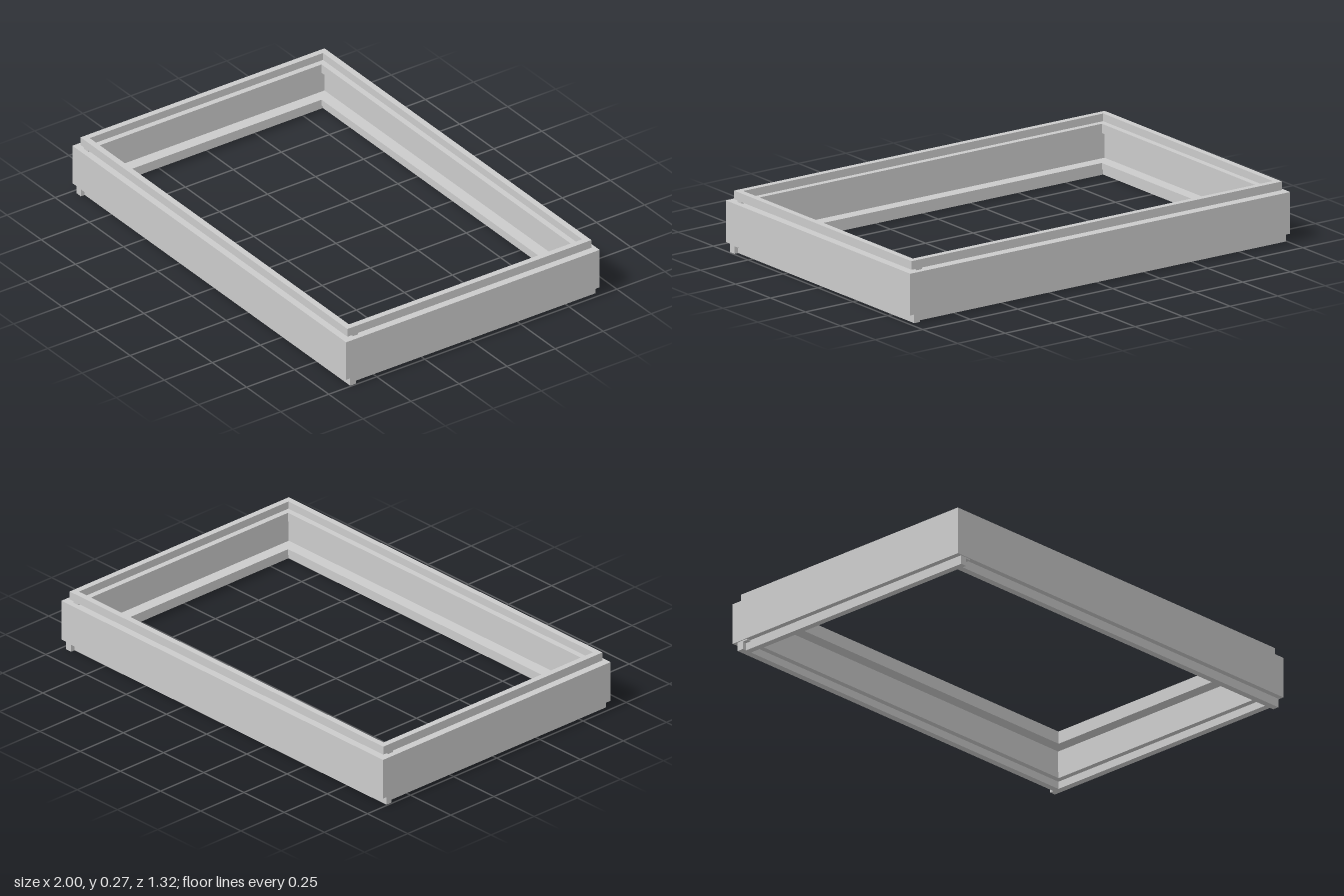
import * as THREE from 'three';

const HALF_X = 1, HALF_Z = 0.66;
const material = new THREE.MeshStandardMaterial({ color: 0xcccccc });

// Cross-sections: [distance inward from the outer face, height]
const wallProfile = [[0, 0.04], [0.025, 0.04], [0.025, 0.225], [0, 0.225]];
const lowerRailProfile = [
  [0.025, 0], [0.055, 0], [0.055, 0.034], [0.08, 0.034],
  [0.08, 0.062], [0.025, 0.062], [0.025, 0.034], [0.025, 0.02],
];
const upperRailProfile = [
  [0.025, 0.195], [0.08, 0.195], [0.08, 0.236], [0.053, 0.236], [0.053, 0.27],
  [0.025, 0.27], [0.025, 0.232], [0.05, 0.232], [0.05, 0.225], [0.025, 0.225],
];

// A straight bar with the given section, running from x = a to x = b
function bar(name, profile, a, b, depth) {
  const shape = new THREE.Shape(profile.map(([d, y]) => new THREE.Vector2(d, y)));
  const geometry = new THREE.ExtrudeGeometry(shape, { depth: b - a, bevelEnabled: false });
  geometry.rotateY(Math.PI / 2).translate(a, 0, depth);
  const mesh = new THREE.Mesh(geometry, material);
  mesh.name = name;
  return mesh;
}

export function createModel() {
  const frame = new THREE.Group();
  frame.name = 'rectangularFrame';

  // Each side overlaps the next one at the corner, like a pinwheel
  ['front', 'left', 'back', 'right'].forEach((side, i) => {
    const long = i % 2 === 0;
    const half = long ? HALF_X : HALF_Z;
    const depth = long ? HALF_Z : HALF_X;
    const group = new THREE.Group();
    group.name = side + 'Side';
    group.add(
      bar('wall', wallProfile, -half + 0.025, half, depth),
      bar('lowerRail', lowerRailProfile, -half + 0.055, half - 0.005, depth),
      bar('upperRail', upperRailProfile, -half + 0.053, half - 0.025, depth),
    );
    group.rotation.y = i * Math.PI / 2;
    frame.add(group);
  });
  return frame;
}
